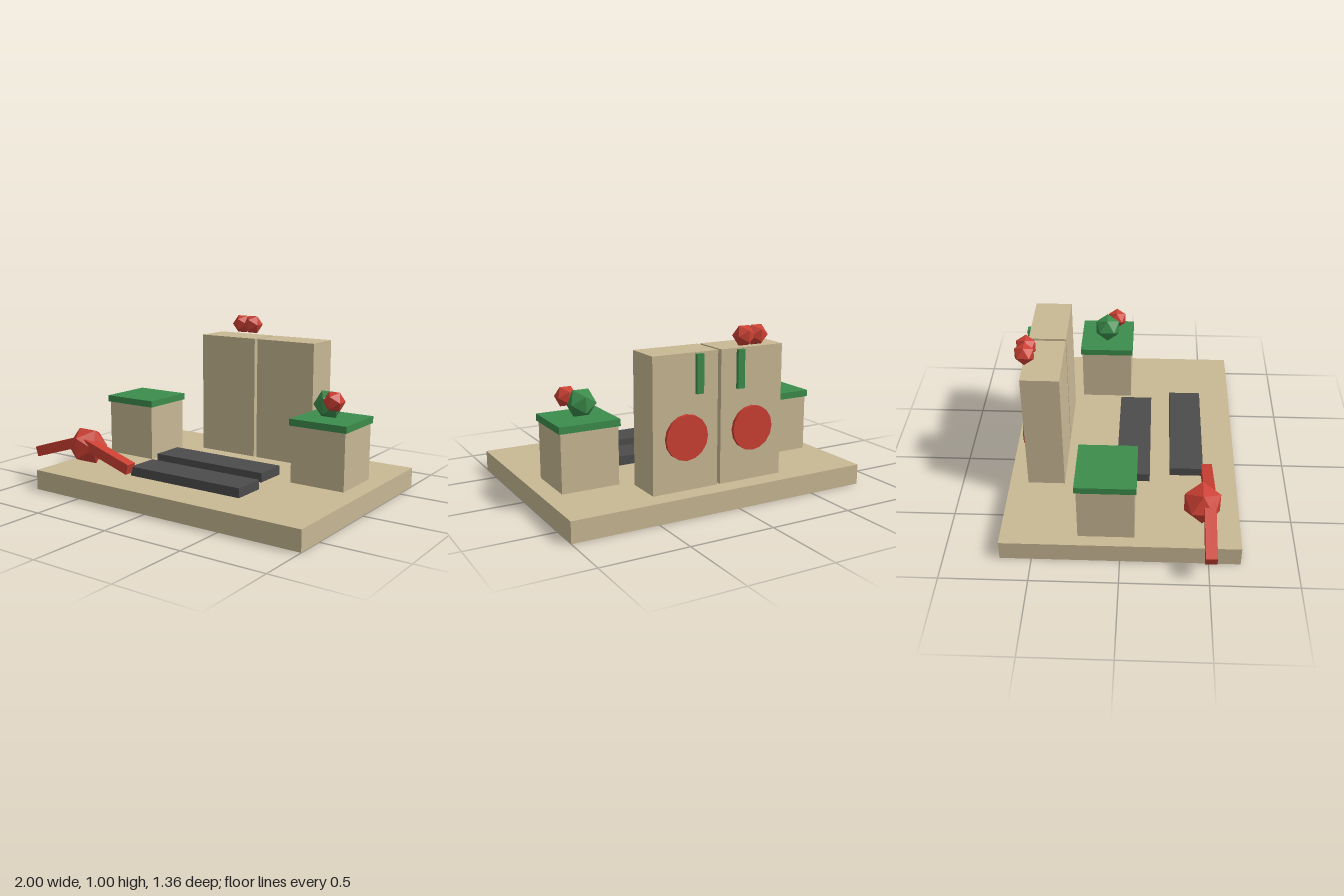
import * as THREE from 'three';

const material = (color, flatShading = true) => new THREE.MeshStandardMaterial({ color, flatShading });

export function createModel() {
  const model = new THREE.Group();
  const stone = material(0xc8b894);
  const green = material(0x3c8c4c);
  const red = material(0xcc4033);
  const redSmooth = material(0xcc4033, false);
  const dark = material(0x4c4c4c);

  const add = (name, geometry, mat, x, y, z) => {
    const mesh = new THREE.Mesh(geometry, mat);
    mesh.name = name;
    mesh.position.set(x, y, z);
    model.add(mesh);
    return mesh;
  };
  // Box given by its centre in x and z and its bottom height
  const box = (name, mat, w, h, d, x, bottom, z) =>
    add(name, new THREE.BoxGeometry(w, h, d), mat, x, bottom + h / 2, z);
  const ball = (name, mat, r, x, y, z) =>
    add(name, new THREE.IcosahedronGeometry(r, 0), mat, x, y, z);

  // Ground slab
  box('base', stone, 1.84, 0.12, 1.36, 0.08, 0, 0);

  // Two tall slabs, each with a disc and a strip on its back
  for (const [side, x, inward] of [['right', -0.14, 1], ['left', 0.28, -1]]) {
    box(side + 'Tower', stone, 0.4, 0.76, 0.22, x, 0.12, -0.46);
    const disc = add(side + 'BackDisc', new THREE.CylinderGeometry(0.128, 0.128, 0.02, 16),
      redSmooth, x, 0.422, -0.58);
    disc.rotation.x = Math.PI / 2;
    box(side + 'BackStrip', green, 0.043, 0.217, 0.02, x + inward * 0.08, 0.655, -0.58);
  }

  // Pedestals with overhanging lids
  for (const [side, x, z] of [['right', -0.6, -0.08], ['left', 0.72, -0.14]]) {
    box(side + 'Pedestal', stone, 0.34, 0.34, 0.32, x, 0.12, z);
    box(side + 'PedestalLid', green, 0.36, 0.04, 0.34, x, 0.457, z);
  }

  // Dark planks
  box('backPlank', dark, 0.76, 0.055, 0.2, 0.06, 0.135, 0.06);
  box('frontPlank', dark, 0.76, 0.055, 0.2, 0.12, 0.135, 0.38);

  // Faceted balls on the tower and the left pedestal
  for (const x of [-0.17, -0.09]) ball('towerBall', red, 0.064, x, 0.943, -0.56);
  ball('bush', green, 0.088, 0.7, 0.572, -0.14);
  ball('bushFlower', red, 0.064, 0.765, 0.604, -0.08);

  // Large ball with two drooping arms
  ball('armedBall', red, 0.12, -0.62, 0.26, 0.46);
  for (const s of [-1, 1]) {
    const arm = box(s < 0 ? 'rightArm' : 'leftArm', red, 0.36, 0.063, 0.065,
      -0.62 + s * 0.2, 0.2035, 0.5);
    arm.rotation.z = -s * 0.3;
  }

  return model;
}
